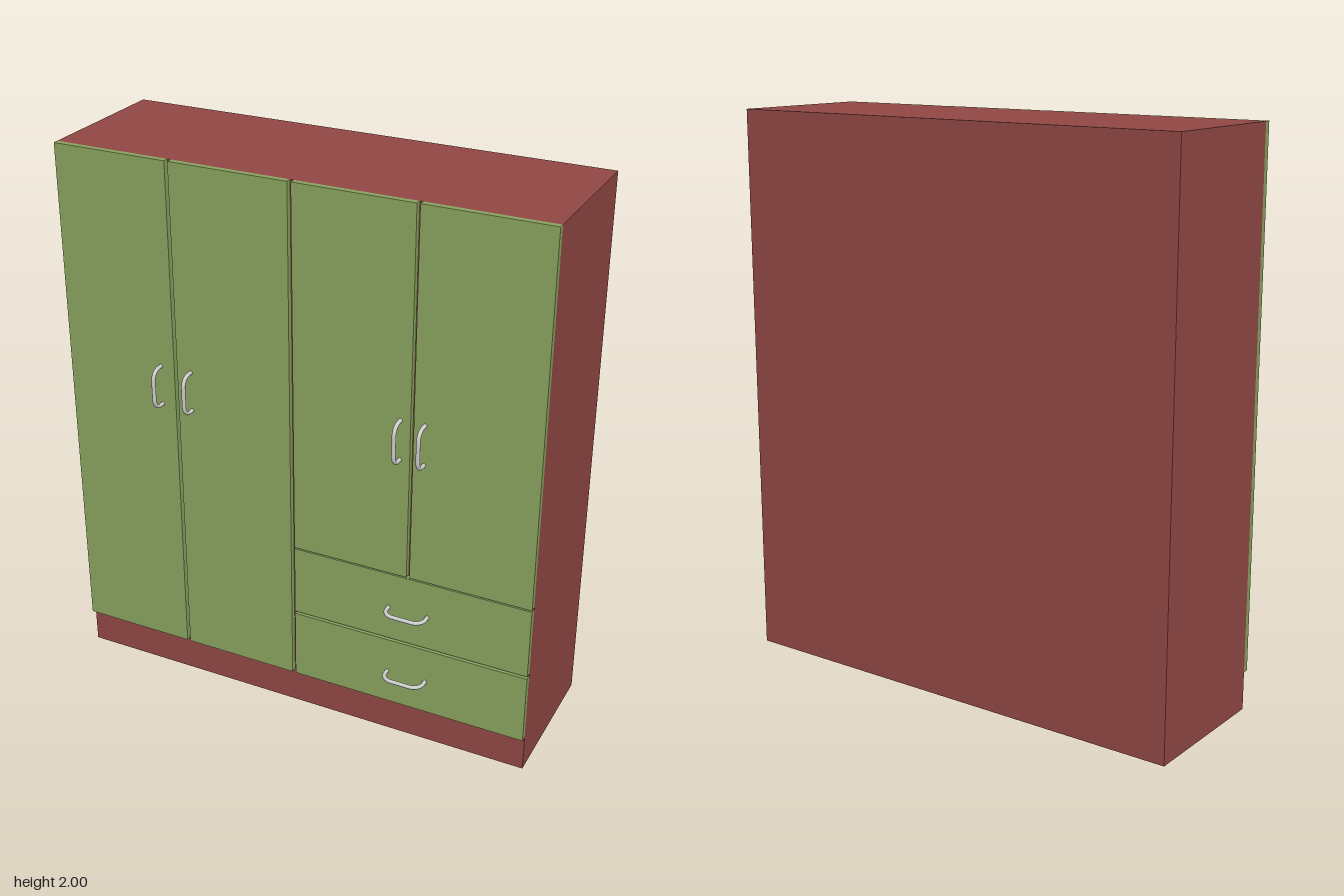
import * as THREE from 'three';

const red = new THREE.MeshStandardMaterial({ color: 0x914844 });
const green = new THREE.MeshStandardMaterial({ color: 0x8aa260 });
const grey = new THREE.MeshStandardMaterial({ color: 0xcccccc });

const HALF_W = 0.876, BACK = -0.305, BODY_FRONT = 0.225, FRONT = 0.246;
const WIRE = 0.007, HALF_GRIP = 0.072, REACH = 0.298 - FRONT, BEND = 0.036;

// Box given by its limits on each axis
function box(name, material, [x0, x1], [y0, y1], [z0, z1]) {
  const mesh = new THREE.Mesh(new THREE.BoxGeometry(x1 - x0, y1 - y0, z1 - z0), material);
  mesh.position.set((x0 + x1) / 2, (y0 + y1) / 2, (z0 + z1) / 2);
  mesh.name = name;
  return mesh;
}

// Bent-wire bow handle, running along y and standing out towards +z
function handleGeometry() {
  const v = (y, z) => new THREE.Vector3(0, y, z);
  const path = new THREE.CurvePath();
  const h = HALF_GRIP, r = REACH, b = BEND;
  path.add(new THREE.LineCurve3(v(-h, -0.004), v(-h, r - b)));
  path.add(new THREE.CubicBezierCurve3(v(-h, r - b), v(-h, r - b * 0.45), v(-h + b * 0.45, r), v(-h + b, r)));
  path.add(new THREE.LineCurve3(v(-h + b, r), v(h - b, r)));
  path.add(new THREE.CubicBezierCurve3(v(h - b, r), v(h - b * 0.45, r), v(h, r - b * 0.45), v(h, r - b)));
  path.add(new THREE.LineCurve3(v(h, r - b), v(h, -0.004)));
  return new THREE.TubeGeometry(path, 48, WIRE, 12);
}

export function createModel() {
  const model = new THREE.Group();
  model.name = 'wardrobe';

  // Carcass with the exposed plinth below the doors
  model.add(box('carcass', red, [-HALF_W, HALF_W], [0, 2], [BACK, BODY_FRONT]));

  // Doors and drawer fronts, separated by narrow gaps
  const depth = [BODY_FRONT, FRONT];
  const fronts = [
    ['outerRightDoor', [-HALF_W, -0.452], [0.136, 2]],
    ['innerRightDoor', [-0.44, -0.009], [0.136, 2]],
    ['innerLeftDoor', [0.004, 0.428], [0.672, 2]],
    ['outerLeftDoor', [0.439, HALF_W], [0.672, 2]],
    ['upperDrawerFront', [0.004, HALF_W], [0.406, 0.667]],
    ['lowerDrawerFront', [0.004, HALF_W], [0.136, 0.396]],
  ];
  for (const [name, x, y] of fronts) model.add(box(name, green, x, y, depth));

  // Upright door handles and level drawer handles
  const geometry = handleGeometry();
  const addHandle = (name, x, y, turn) => {
    const handle = new THREE.Mesh(geometry, grey);
    handle.name = name;
    handle.position.set(x, y, FRONT);
    handle.rotation.z = turn;
    model.add(handle);
  };
  for (const x of [-0.505, -0.387, 0.393, 0.478]) addHandle('doorHandle', x, 1.19, 0);
  for (const y of [0.533, 0.264]) addHandle('drawerHandle', 0.437, y, Math.PI / 2);

  return model;
}
